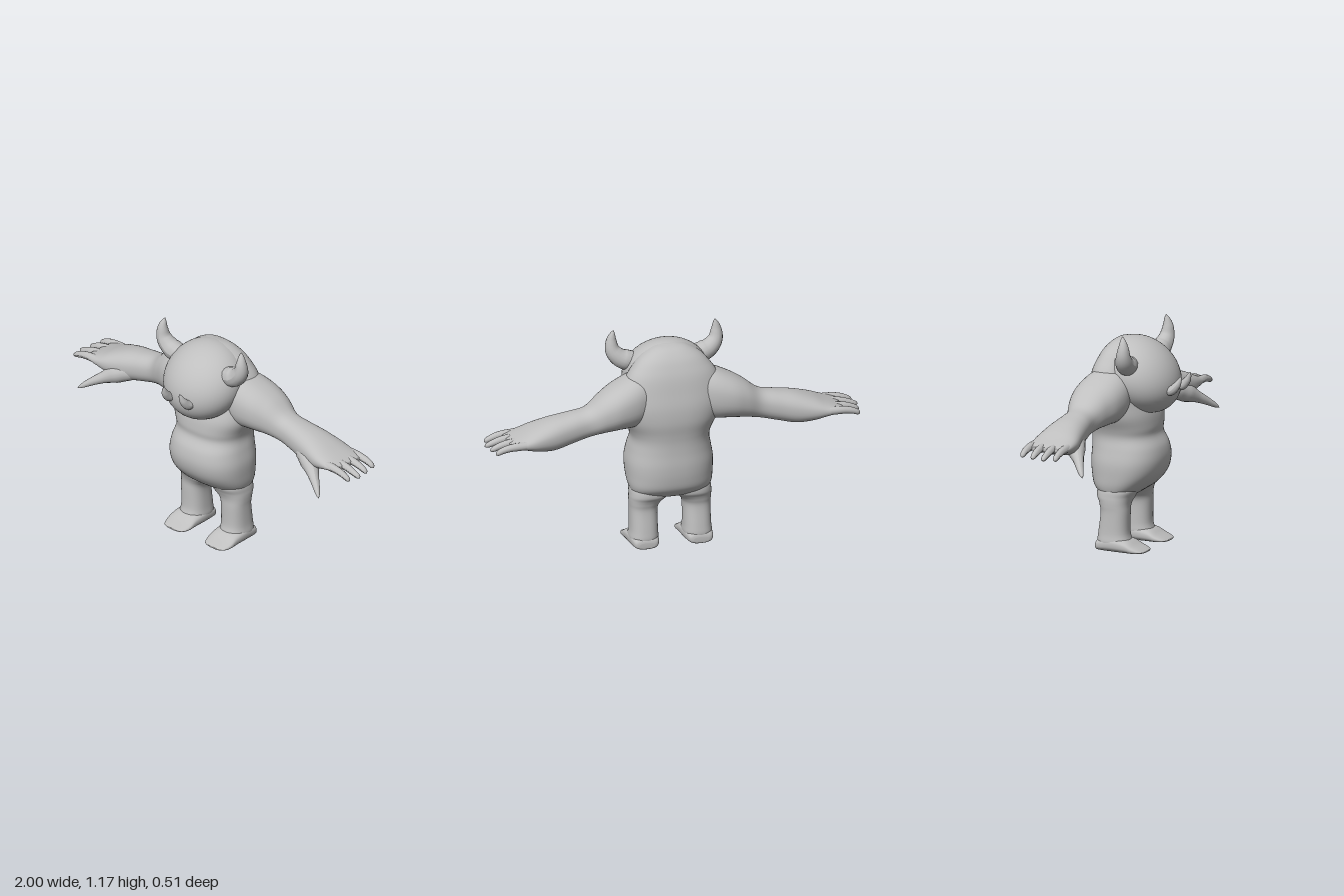
import * as THREE from 'three';

const skin = new THREE.MeshStandardMaterial({ color: 0xbfbfbf });
skin.name = 'greySkin';

// Smooth closed loft along an axis. Row: [t, aMin, aMax, bMin, bMax],
// where (t, a, b) is (x, y, z), (y, z, x) or (z, x, y).
function loft(axis, rows, power = 2.3, sides = 40, steps = 5) {
  const rings = [];
  const row = i => rows[Math.min(Math.max(i, 0), rows.length - 1)];
  for (let i = 0; i < rows.length - 1; i++) {
    for (let s = 0; s < steps; s++) {
      const f = s / steps;
      rings.push(row(i).map((p1, k) => {
        const p0 = row(i - 1)[k], p2 = row(i + 1)[k], p3 = row(i + 2)[k];
        return p1 + 0.5 * f * (p2 - p0 + f * (2 * p0 - 5 * p1 + 4 * p2 - p3 + f * (3 * (p1 - p2) + p3 - p0)));
      }));
    }
  }
  rings.push(row(rows.length));
  // close both ends on their centres
  const point = ([t, a0, a1, b0, b1]) => [t, (a0 + a1) / 2, (a0 + a1) / 2, (b0 + b1) / 2, (b0 + b1) / 2];
  rings.unshift(point(rings[0]));
  rings.push(point(rings[rings.length - 1]));

  const pos = [], index = [], shift = 'xyz'.indexOf(axis);
  const bend = v => Math.sign(v) * Math.pow(Math.abs(v), 2 / power);
  rings.forEach(([t, a0, a1, b0, b1], i) => {
    for (let j = 0; j < sides; j++) {
      const q = (j / sides) * Math.PI * 2;
      const local = [
        t,
        (a0 + a1) / 2 + ((a1 - a0) / 2) * bend(Math.cos(q)),
        (b0 + b1) / 2 + ((b1 - b0) / 2) * bend(Math.sin(q)),
      ];
      for (let k = 0; k < 3; k++) pos.push(local[(k - shift + 3) % 3]);
      if (i < rings.length - 1) {
        const n = (j + 1) % sides, r = i * sides, u = r + sides;
        index.push(r + j, r + n, u + n, r + j, u + n, u + j);
      }
    }
  });
  const g = new THREE.BufferGeometry();
  g.setAttribute('position', new THREE.Float32BufferAttribute(pos, 3));
  g.setIndex(index);
  g.computeVertexNormals();
  return g;
}

// Tube whose radius follows a list; it closes at the tip.
function taper(points, radii, sides = 16, steps = 24) {
  const curve = new THREE.CatmullRomCurve3(points.map(p => new THREE.Vector3(...p)));
  const g = new THREE.TubeGeometry(curve, steps, 1, sides);
  const pos = g.attributes.position, v = new THREE.Vector3();
  for (let i = 0; i <= steps; i++) {
    const t = i / steps, c = curve.getPointAt(t);
    const f = t * (radii.length - 1), k = Math.min(Math.floor(f), radii.length - 2);
    const round = Math.sqrt(Math.max(0, 1 - Math.pow(Math.max(0, (t - 0.85) / 0.15), 2)));
    const r = THREE.MathUtils.lerp(radii[k], radii[k + 1], f - k) * round;
    for (let j = 0; j <= sides; j++) {
      const n = i * (sides + 1) + j;
      v.fromBufferAttribute(pos, n).sub(c).multiplyScalar(r).add(c);
      pos.setXYZ(n, v.x, v.y, v.z);
    }
  }
  g.computeVertexNormals();
  return g;
}

// Mirror a geometry in x and keep its faces outward
function mirrored(geometry) {
  const g = geometry.clone().scale(-1, 1, 1);
  const ix = g.index.array;
  for (let i = 0; i < ix.length; i += 3) [ix[i], ix[i + 1]] = [ix[i + 1], ix[i]];
  g.computeVertexNormals();
  return g;
}

export function createModel() {
  const model = new THREE.Group();
  model.name = 'hornedMonster';
  const add = (name, geometry) => {
    const mesh = new THREE.Mesh(geometry, skin);
    mesh.name = name;
    model.add(mesh);
  };
  const addPair = (name, geometry) => {
    add(name + 'Left', geometry);
    add(name + 'Right', mirrored(geometry));
  };

  // Torso with round belly and hunched back: y, back z, front z, half width
  add('torso', loft('y', [
    [0.272, -0.13, -0.04, 0.06],
    [0.282, -0.155, -0.01, 0.14],
    [0.3, -0.182, 0.02, 0.197],
    [0.34, -0.22, 0.075, 0.218],
    [0.4, -0.235, 0.122, 0.226],
    [0.47, -0.24, 0.14, 0.228],
    [0.54, -0.237, 0.13, 0.216],
    [0.6, -0.237, 0.1, 0.205],
    [0.65, -0.242, 0.1, 0.217],
    [0.72, -0.252, 0.09, 0.25],
    [0.8, -0.25, 0.06, 0.268],
    [0.88, -0.235, 0.04, 0.265],
    [0.95, -0.219, 0.01, 0.237],
    [1.0, -0.2, 0, 0.203],
    [1.05, -0.172, -0.005, 0.158],
    [1.09, -0.13, -0.02, 0.09],
    [1.105, -0.08, -0.04, 0.03],
  ].map(([y, back, front, w]) => [y, back, front, -w, w]), 2.4, 56));

  // Head, leaning back towards the crown
  const head = new THREE.SphereGeometry(1, 48, 32);
  head.scale(0.225, 0.197, 0.194);
  head.applyMatrix4(new THREE.Matrix4().makeShear(0, 0, 0, -0.25, 0, 0));
  head.translate(0, 0.912, 0.01);
  add('head', head);

  // Horns and tusks
  addPair('horn', taper(
    [[0.15, 0.985, 0.015], [0.235, 1.01, 0.02], [0.275, 1.055, 0.027], [0.281, 1.11, 0.03], [0.272, 1.168, 0.022]],
    [0.048, 0.053, 0.043, 0.029, 0.008]));
  addPair('tusk', taper(
    [[0.066, 0.848, 0.15], [0.067, 0.855, 0.205], [0.064, 0.885, 0.235], [0.056, 0.932, 0.257]],
    [0.02, 0.026, 0.019, 0.005]));

  // Arm from shoulder to flat palm: x, low y, high y, back z, front z
  addPair('arm', loft('x', [
    [0.1, 0.74, 0.97, -0.19, 0.0],
    [0.2, 0.69, 0.965, -0.232, 0.03],
    [0.3, 0.686, 0.927, -0.247, 0.015],
    [0.38, 0.68, 0.882, -0.235, -0.02],
    [0.46, 0.665, 0.822, -0.212, -0.05],
    [0.55, 0.642, 0.803, -0.22, -0.045],
    [0.65, 0.62, 0.785, -0.238, -0.03],
    [0.74, 0.628, 0.757, -0.25, -0.015],
    [0.8, 0.646, 0.732, -0.252, -0.015],
    [0.86, 0.664, 0.709, -0.25, -0.022],
    [0.89, 0.675, 0.697, -0.243, -0.03],
  ]));

  // Four fingers: z and tip x
  [[-0.231, 0.975], [-0.168, 0.988], [-0.104, 1.0], [-0.043, 0.985]].forEach(([z, tip], i) => {
    addPair('finger' + (i + 1), taper(
      [[0.81, 0.69, z], [0.9, 0.686, z], [0.95, 0.673, z], [tip, 0.656, z]],
      [0.022, 0.021, 0.018, 0.013], 12));
  });
  // Thumb, growing out of the wrist
  addPair('thumb', taper(
    [[0.56, 0.705, -0.11], [0.68, 0.66, -0.058], [0.77, 0.612, -0.002], [0.82, 0.58, 0.03], [0.862, 0.549, 0.06]],
    [0.035, 0.05, 0.05, 0.03, 0.019, 0.01]));

  // Legs: y, back z, front z, inner x, outer x
  addPair('leg', loft('y', [
    [0.02, -0.15, -0.015, 0.085, 0.205],
    [0.05, -0.167, 0.01, 0.068, 0.22],
    [0.1, -0.163, 0, 0.07, 0.215],
    [0.2, -0.15, 0, 0.07, 0.214],
    [0.24, -0.156, 0, 0.058, 0.216],
    [0.265, -0.165, 0.005, 0.034, 0.217],
    [0.29, -0.178, 0.015, 0.008, 0.216],
    [0.33, -0.175, 0.03, 0.01, 0.21],
    [0.38, -0.15, 0.0, 0.04, 0.18],
  ], 2.4));

  // Feet, tapering to thin toes: z, inner x, outer x, low y, high y
  addPair('foot', loft('z', [
    [-0.17, 0.105, 0.185, 0.012, 0.04],
    [-0.155, 0.08, 0.21, 0.003, 0.065],
    [-0.08, 0.066, 0.222, 0, 0.085],
    [0, 0.064, 0.226, 0, 0.07],
    [0.05, 0.064, 0.226, 0.002, 0.042],
    [0.09, 0.08, 0.21, 0.006, 0.023],
    [0.104, 0.11, 0.18, 0.009, 0.016],
  ], 2.6));

  return model;
}
